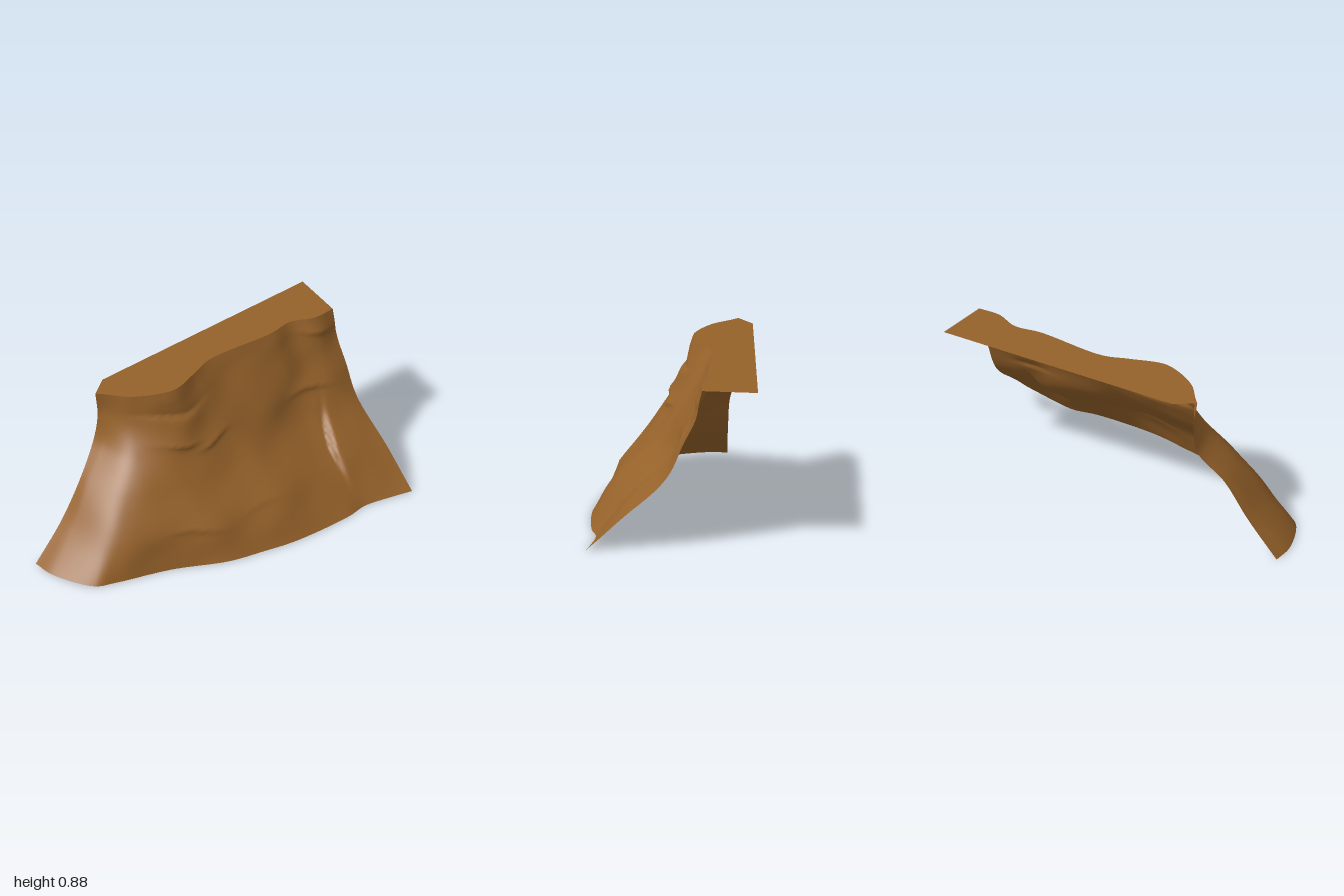
import * as THREE from 'three';

const TOP = 0.875;

// Horizontal cross-sections of the cliff from foot to rim: [height, [x, z] points from right end to left end]
const sections = [
  [0, [[-1, -.34], [-1, -.2], [-.9, .03], [-.8, .075], [-.48, .18], [-.2, .32], [0, .37], [.2, .41], [.56, .42], [.7, .4], [.86, .43], [.98, .46]]],
  [.2, [[-.82, -.34], [-.82, -.24], [-.77, -.04], [-.68, .04], [-.43, .145], [-.2, .23], [0, .255], [.2, .28], [.6, .225], [.72, .24], [.84, .25], [.98, .235]]],
  [.4, [[-.68, -.35], [-.68, -.28], [-.63, -.11], [-.55, -.035], [-.38, .045], [-.2, .075], [0, .08], [.2, .075], [.6, .005], [.74, .04], [.84, .035], [.965, .02]]],
  [.57, [[-.54, -.4], [-.53, -.33], [-.5, -.2], [-.46, -.14], [-.33, -.06], [-.2, -.025], [0, -.035], [.2, -.04], [.56, -.075], [.7, -.09], [.84, -.065], [.96, -.06]]],
  [.72, [[-.515, -.395], [-.5, -.36], [-.45, -.26], [-.41, -.21], [-.3, -.12], [-.18, -.08], [0, -.115], [.2, -.145], [.56, -.14], [.7, -.155], [.84, -.12], [.955, -.13]]],
  [TOP, [[-.535, -.39], [-.5, -.35], [-.43, -.26], [-.38, -.22], [-.28, -.165], [-.18, -.14], [0, -.19], [.15, -.235], [.55, -.205], [.7, -.22], [.83, -.165], [.955, -.165]]],
];

// Ledges (positive depth) and a recess (negative): [x, height, half width, depth]
const ledges = [
  [-.22, .585, .1, .022], [-.02, .545, .1, .022], [-.3, .18, .12, .015],
  [.12, .2, .12, .01], [.7, .52, .1, .022], [-.2, .74, .15, -.025], [.82, .8, .1, .012],
];

const spline = pts => new THREE.CatmullRomCurve3(pts, false, 'centripetal');

// Outward relief of the rock: gentle lumps, ledges and a buttress rising sharply beside a crack
function relief(x, y) {
  const fade = Math.min(1, y / 0.12, (TOP - y) / 0.08);
  let d = 0.004 * Math.sin(9 * x + 6 * y) * Math.cos(13 * y - 4 * x)
    + 0.003 * Math.sin(21 * x - 9 * y + 1) * Math.sin(17 * y + 5 * x);
  for (const [lx, ly, w, depth] of ledges) {
    const h = y - ly - 0.02 * Math.sin(12 * x);
    const side = Math.exp(-(((x - lx) / w) ** 2));
    d += depth * side * (h > 0 ? Math.exp(-h / 0.06) : Math.exp(h / 0.012));
  }
  const crackX = 0.67 + 0.4 * Math.max(0, y - 0.25);
  const s = x - crackX;
  const step = s > 0 ? 0.02 * Math.exp(-s / 0.06) : -0.04 * Math.exp(s / 0.06);
  d += step * Math.min(1, Math.abs(s) / 0.015) * Math.exp(-(((y - 0.28) / 0.12) ** 2));
  return d * fade;
}

// Lofts the cross-sections into a smooth sheet
function cliffGeometry(cols, rows) {
  const columns = sections[0][1].map((_, i) =>
    spline(sections.map(([y, pts]) => new THREE.Vector3(pts[i][0], y, pts[i][1]))));
  const geo = new THREE.PlaneGeometry(1, 1, cols, rows);
  const pos = geo.attributes.position;
  for (let r = 0; r <= rows; r++) {
    const across = spline(columns.map(c => c.getPoint(1 - r / rows)));
    for (let c = 0; c <= cols; c++) {
      const p = across.getPoint(c / cols);
      const y = THREE.MathUtils.clamp(p.y, 0, TOP);
      const d = relief(p.x, y) * Math.min(1, c / 8);
      pos.setXYZ(r * (cols + 1) + c, p.x - d * 0.2, y, p.z + d);
    }
  }
  geo.computeVertexNormals();
  return geo;
}

export function createModel() {
  const model = new THREE.Group();
  model.name = 'cliff';
  const rock = new THREE.MeshStandardMaterial({ color: 0x96622a, side: THREE.DoubleSide });

  // Sloping rock face, open at the back
  const cols = 110, rows = 70;
  const faceGeo = cliffGeometry(cols, rows);
  const face = new THREE.Mesh(faceGeo, rock);
  face.name = 'rockFace';
  model.add(face);

  // Flat plateau bounded in front by the rim of the rock face
  const rim = [];
  for (let c = 0; c <= cols; c++) {
    rim.push(new THREE.Vector2(faceGeo.attributes.position.getX(c), -faceGeo.attributes.position.getZ(c)));
  }
  rim.push(new THREE.Vector2(1, 0.465), new THREE.Vector2(-0.42, 0.465));
  const plateau = new THREE.Mesh(new THREE.ShapeGeometry(new THREE.Shape(rim)), rock);
  plateau.name = 'plateau';
  plateau.rotation.x = -Math.PI / 2;
  plateau.position.y = TOP;
  model.add(plateau);

  return model;
}
